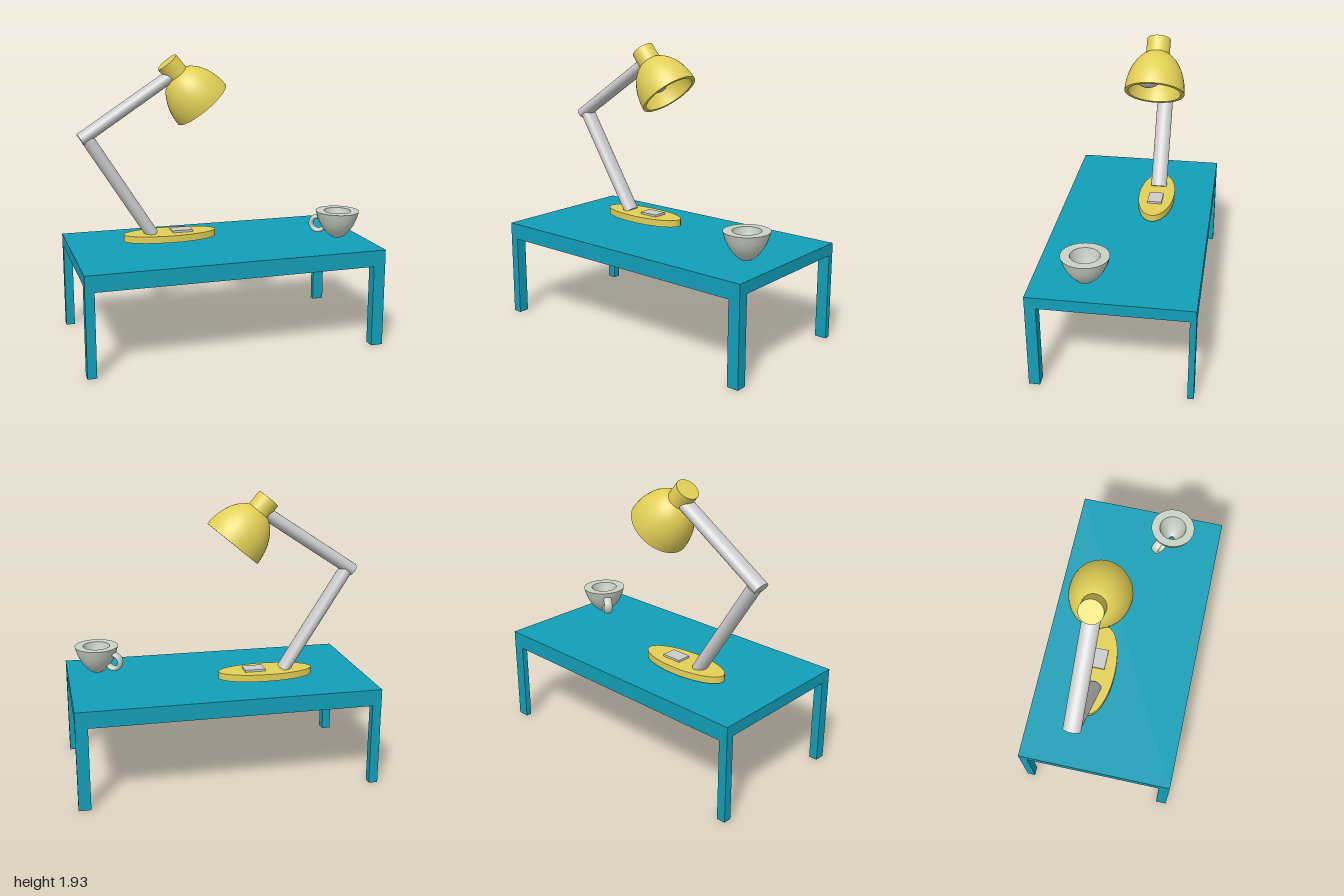
import * as THREE from 'three';
import { toCreasedNormals } from 'three/addons/utils/BufferGeometryUtils.js';

const material = (color) => new THREE.MeshStandardMaterial({ color, side: THREE.DoubleSide });
const teal = material(0x119fb8);
const yellow = material(0xe2d056);
const grey = material(0xcccccc);
const ceramic = material(0xc8d2c4);

function add(parent, name, geometry, mat, x = 0, y = 0, z = 0) {
  const mesh = new THREE.Mesh(geometry, mat);
  mesh.name = name;
  mesh.position.set(x, y, z);
  parent.add(mesh);
  return mesh;
}

// Box given by its limits along each axis
function block(parent, name, mat, [x0, x1], [y0, y1], [z0, z1]) {
  return add(parent, name, new THREE.BoxGeometry(x1 - x0, y1 - y0, z1 - z0), mat,
    (x0 + x1) / 2, (y0 + y1) / 2, (z0 + z1) / 2);
}

function lathe(points) {
  const profile = points.map(([r, y]) => new THREE.Vector2(r, y));
  return toCreasedNormals(new THREE.LatheGeometry(profile, 40), 0.6);
}

function createTable() {
  const table = new THREE.Group();
  table.name = 'table';
  const lower = [0.553, 0.585];
  block(table, 'tableTop', teal, [-1, 1], [0.585, 0.663], [-0.525, 0.525]);
  block(table, 'middlePanel', teal, [-0.65, 0.59], lower, [-0.525, 0.525]);
  // Rims and legs beside the shallow recess at each end
  for (const [panelX, outerX, legX] of [[-0.65, -1, -0.94], [0.59, 1, 0.92]]) {
    const backZ = outerX > 0 ? -0.485 : -0.47;
    const span = [Math.min(panelX, outerX), Math.max(panelX, outerX)];
    const legSpan = [Math.min(legX, outerX), Math.max(legX, outerX)];
    for (const [side, z] of [['front', [0.453, 0.525]], ['back', [-0.525, backZ]]]) {
      block(table, side + 'Rim', teal, span, lower, z);
      block(table, side + 'Leg', teal, legSpan, [0, 0.585], z);
    }
  }
  return table;
}

// Slightly flattened rod between two points in the lamp's plane
function arm(parent, name, [x0, y0], [x1, y1]) {
  const length = Math.hypot(x1 - x0, y1 - y0);
  const mesh = add(parent, name, new THREE.CylinderGeometry(1, 1, length, 32), grey,
    (x0 + x1) / 2, (y0 + y1) / 2);
  mesh.scale.set(0.043, 1, 0.057);
  mesh.rotation.z = Math.atan2(x0 - x1, y1 - y0);
}

function createLamp() {
  const lamp = new THREE.Group();
  lamp.name = 'lamp';
  lamp.position.z = -0.13;

  const base = add(lamp, 'lampBase', new THREE.CylinderGeometry(1, 1, 0.047, 40), yellow, -0.31, 0.703);
  base.scale.set(0.322, 1, 0.126);
  block(lamp, 'switch', grey, [-0.3, -0.16], [0.715, 0.741], [-0.05, 0.05]);
  arm(lamp, 'lowerArm', [-0.436, 0.72], [-0.858, 1.39]);
  arm(lamp, 'upperArm', [-0.904, 1.388], [-0.285, 1.795]);

  // Tilted head, its origin at the centre of the shade's rim
  const head = new THREE.Group();
  head.name = 'lampHead';
  head.position.set(-0.078, 1.594, 0);
  head.rotation.z = 0.694;
  lamp.add(head);
  const outer = [], inner = [];
  for (let i = 0; i <= 14; i++) {
    const a = (i / 14) * Math.PI / 2;
    const c = i === 14 ? 0 : Math.cos(a);
    outer.push([0.209 * c, 0.29 * Math.sin(a)]);
    inner.unshift([0.184 * c, 0.265 * Math.sin(a)]);
  }
  const shade = add(head, 'shade', lathe([...inner, ...outer]), yellow);
  shade.scale.z = 0.94;
  add(head, 'neck', new THREE.CylinderGeometry(0.078, 0.078, 0.115, 32), yellow, 0, 0.315);
  add(head, 'bulb', new THREE.SphereGeometry(0.1, 32, 20), grey, 0, 0.137, 0.05);
  return lamp;
}

function createCup() {
  const cup = new THREE.Group();
  cup.name = 'cup';
  cup.position.set(0.8, 0.68, 0.18);
  // Thick bowl with a small opening through its bottom
  const bowl = add(cup, 'bowl', lathe([
    [0.016, 0.012], [0.04, 0.035], [0.064, 0.085], [0.08, 0.135], [0.09, 0.187],
    [0.147, 0.187], [0.132, 0.135], [0.112, 0.09], [0.085, 0.05], [0.055, 0.018],
    [0.03, 0.003], [0.016, 0], [0.016, 0.012],
  ]), ceramic);
  bowl.scale.z = 1.05;
  // Strap handle pointing to the back right
  const angle = Math.atan2(0.55, -0.83);
  const handle = add(cup, 'handle', new THREE.TorusGeometry(0.049, 0.016, 12, 32), ceramic,
    0.132 * Math.cos(angle), 0.09, -0.132 * Math.sin(angle));
  handle.rotation.y = angle;
  handle.scale.z = 1.9;
  return cup;
}

export function createModel() {
  const model = new THREE.Group();
  model.name = 'deskWithLampAndCup';
  model.add(createTable(), createLamp(), createCup());
  return model;
}
